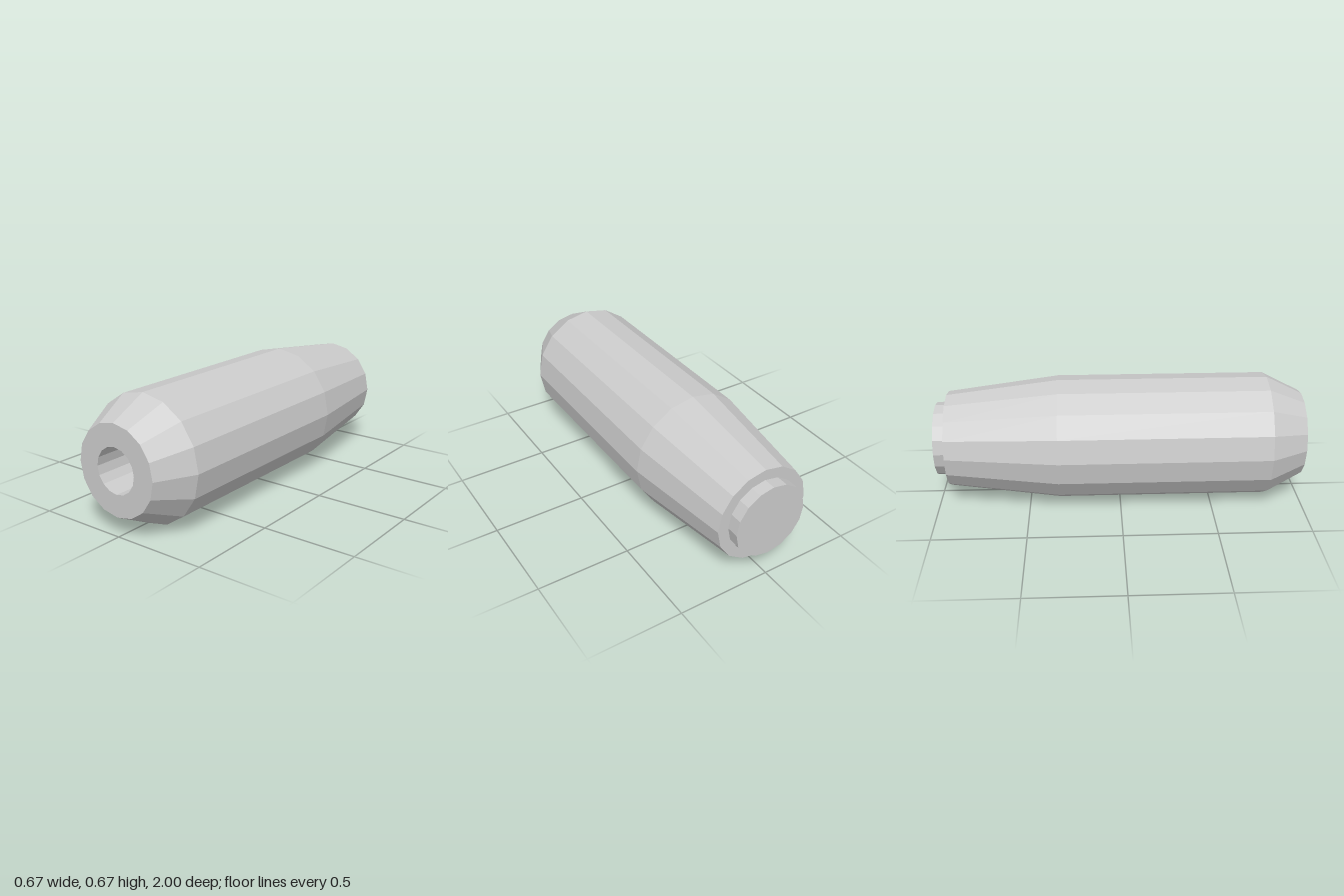
import * as THREE from 'three';

const SIDES = 16;
const AXIS_HEIGHT = 0.339;

export function createModel() {
  const model = new THREE.Group();
  const material = new THREE.MeshStandardMaterial({ color: 0xcccccc, flatShading: true });

  // Turned part along z from [radius, z] pairs, listed from back to front
  const addTurned = (name, profile) => {
    const points = profile.map(([r, z]) => new THREE.Vector2(r, z));
    const geometry = new THREE.LatheGeometry(points, SIDES).rotateX(Math.PI / 2);
    const mesh = new THREE.Mesh(geometry, material);
    mesh.name = name;
    mesh.position.y = AXIS_HEIGHT;
    model.add(mesh);
  };

  // Barrel: rear shoulder, long taper, straight wall, front chamfer, then the blind bore
  addTurned('body', [
    [0.2, -0.935], [0.26, -0.935], [0.337, -0.335], [0.337, 0.8],
    [0.236, 1], [0.119, 1], [0.119, -0.9], [0, -0.9],
  ]);

  // Short stub closing the rear end
  addTurned('rearCollar', [[0, -1], [0.201, -1], [0.201, -0.935]]);

  return model;
}
